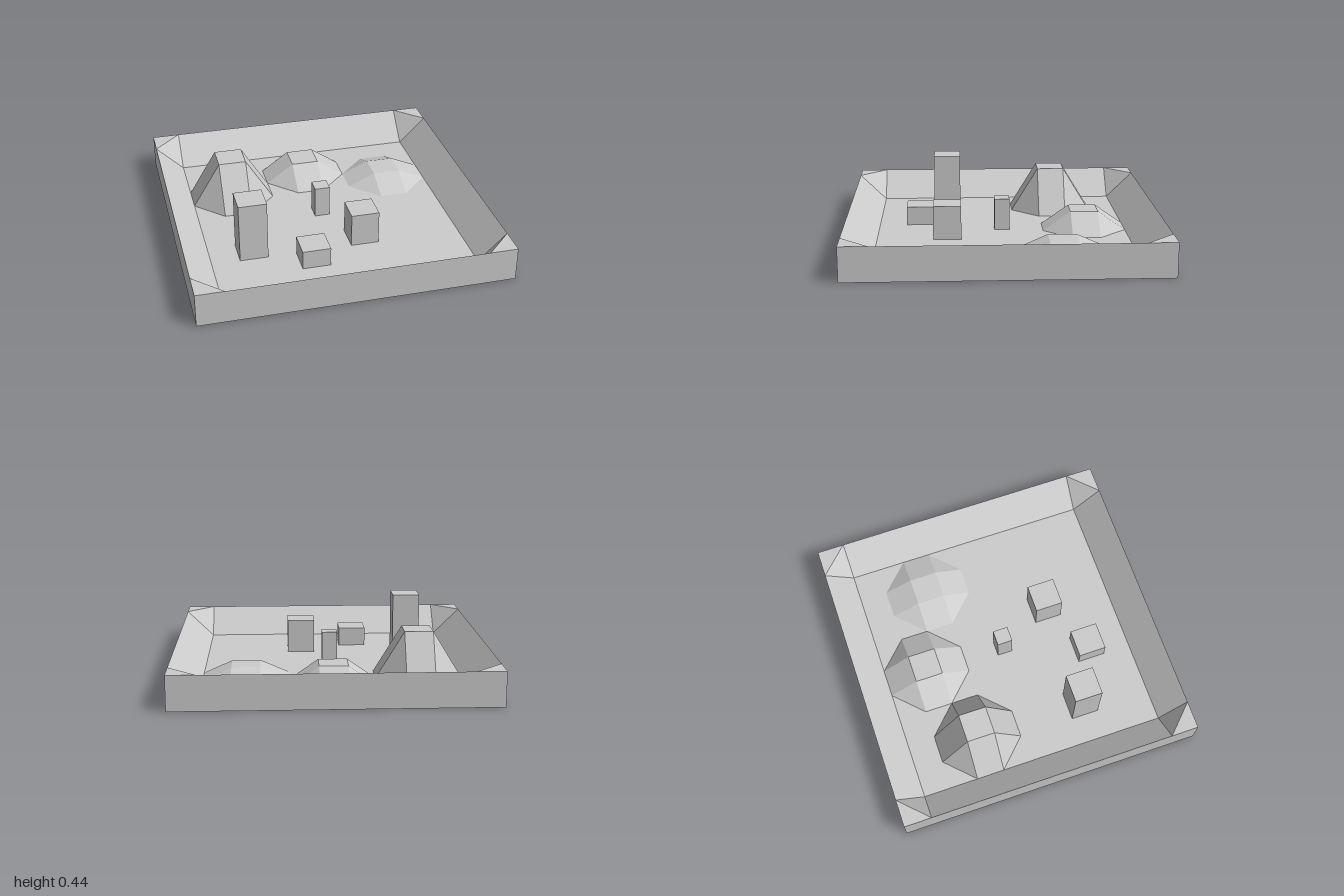
import * as THREE from 'three';

const CELL = 2 / 11;      // the layout follows an 11 x 11 grid
const FLOOR = 0.042;
const RIM = 0.22;

// Flat-faced geometry from polygons, repeated around the four sides, plus extra faces made once
function fourSided(sideFaces, onceFaces) {
  const pos = [];
  const addFace = (face, turn) => {
    const pts = face.map(p => new THREE.Vector3(...p).applyAxisAngle(new THREE.Vector3(0, 1, 0), turn));
    for (let i = 1; i < pts.length - 1; i++)
      for (const p of [pts[0], pts[i], pts[i + 1]]) pos.push(p.x, p.y, p.z);
  };
  for (let s = 0; s < 4; s++) sideFaces.forEach(f => addFace(f, s * Math.PI / 2));
  onceFaces.forEach(f => addFace(f, 0));
  const geo = new THREE.BufferGeometry();
  geo.setAttribute('position', new THREE.Float32BufferAttribute(pos, 3));
  geo.computeVertexNormals();
  return geo;
}

// Level square facing up
const square = (r, y) => [[-r, y, r], [r, y, r], [r, y, -r], [-r, y, -r]];

// Tray: upright outside, sloping banks inside, cut corners
function trayGeometry() {
  const e = 1 - CELL;
  return fourSided([
    [[-1, 0, 1], [1, 0, 1], [1, RIM, 1], [-1, RIM, 1]],          // outer wall
    [[-e, RIM, 1], [e, RIM, 1], [e, FLOOR, e], [-e, FLOOR, e]],  // inner bank
    [[e, RIM, 1], [1, RIM, 1], [1, RIM, e]],                     // flat corner
    [[e, RIM, 1], [1, RIM, e], [e, FLOOR, e]],                   // corner bank
  ], [square(e, FLOOR), square(1, 0).reverse()]);
}

// Hill: octagonal foot rising to a square top
function hillGeometry(height) {
  const a = CELL / 2, b = CELL * 1.5;
  return fourSided([
    [[-a, 0, b], [a, 0, b], [a, height, a], [-a, height, a]],
    [[a, 0, b], [b, 0, a], [a, height, a]],
  ], [square(a, height)]);
}

export function createModel() {
  const group = new THREE.Group();
  const grey = new THREE.MeshStandardMaterial({ color: 0xcccccc });
  grey.name = 'grey';

  const add = (name, geo, x = 0, y = 0, z = 0) => {
    const mesh = new THREE.Mesh(geo, grey);
    mesh.name = name;
    mesh.position.set(x, y, z);
    group.add(mesh);
  };

  add('tray', trayGeometry());

  // Hills: name, grid column, grid row, top height
  for (const [name, cx, cz, top] of [
    ['tallHill', -3, -2, 0.34],
    ['middleHill', 0, -3, 0.17],
    ['lowHill', 3, -2, 0.122],
  ]) add(name, hillGeometry(top - FLOOR), cx * CELL, FLOOR, cz * CELL);

  // Blocks: name, grid column, grid row, width, top height
  for (const [name, cx, cz, w, top] of [
    ['tallBlock', -3, 2, CELL, 0.435],
    ['lowBlock', -1, 3, CELL, 0.165],
    ['middleBlock', 1, 2, CELL, 0.262],
    ['smallPost', 0, 0, 0.1, 0.25],
  ]) {
    const h = top - FLOOR;
    add(name, new THREE.BoxGeometry(w, h, w), cx * CELL, FLOOR + h / 2, cz * CELL);
  }

  return group;
}
